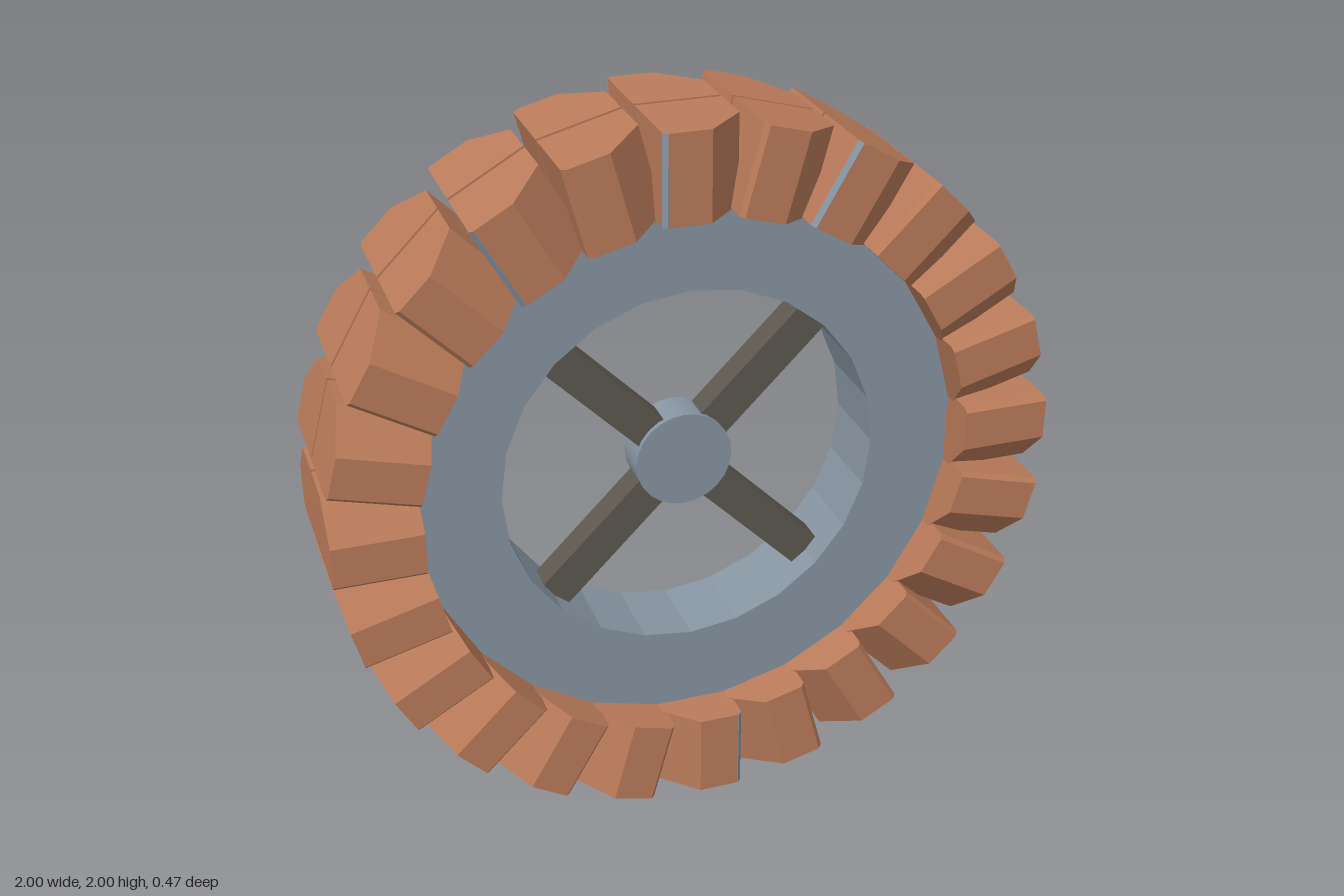
import * as THREE from 'three';

const mat = (name, color) => {
  const m = new THREE.MeshStandardMaterial({ color });
  m.name = name;
  return m;
};

export function createModel() {
  const treadBrown = mat('treadBrown', 0xba7b5a);
  const rimGrey = mat('rimGrey', 0x8795a2);
  const spokeGrey = mat('spokeGrey', 0x5d5850);

  const wheel = new THREE.Group();
  wheel.name = 'wheel';
  wheel.position.y = 1;

  const add = (name, geometry, material, parent = wheel) => {
    const mesh = new THREE.Mesh(geometry, material);
    mesh.name = name;
    parent.add(mesh);
    return mesh;
  };

  // Regular polygon outline for the faceted rim
  const polygon = (radius, sides) =>
    Array.from({ length: sides }, (_, i) => {
      const a = (i / sides) * Math.PI * 2;
      return new THREE.Vector2(radius * Math.cos(a), radius * Math.sin(a));
    });

  // Rim ring, recessed between the tread rows
  const rimShape = new THREE.Shape(polygon(0.88, 24));
  rimShape.holes.push(new THREE.Path(polygon(0.528, 24)));
  const rimGeo = new THREE.ExtrudeGeometry(rimShape, { depth: 0.23, bevelEnabled: false });
  rimGeo.translate(0, 0, -0.115);
  add('rim', rimGeo, rimGrey);

  // Hub disc
  const hubGeo = new THREE.CylinderGeometry(0.137, 0.137, 0.11, 24);
  hubGeo.rotateX(Math.PI / 2);
  add('hub', hubGeo, rimGrey);

  // Four diagonal spokes
  const spokeGeo = new THREE.BoxGeometry(0.1, 0.46, 0.08);
  spokeGeo.translate(0, 0.32, 0);
  for (let i = 0; i < 4; i++) {
    add('spoke', spokeGeo, spokeGrey).rotation.z = Math.PI / 4 + (i * Math.PI) / 2;
  }

  // Tread lug: (tangent, axial) section with a large leading and a small trailing chamfer
  const section = [
    [-0.115, 0.006], [0.115, 0.006], [0.115, 0.135],
    [0.01, 0.236], [-0.103, 0.236], [-0.115, 0.222],
  ];
  const INNER = 0.757, HEIGHT = 0.243;
  const lugGeometry = (side) => {
    const shape = new THREE.Shape(section.map(([t, z]) => new THREE.Vector2(t, -z * side)));
    const geo = new THREE.ExtrudeGeometry(shape, { depth: HEIGHT, bevelEnabled: false });
    geo.rotateX(-Math.PI / 2);
    geo.translate(0, INNER, 0);
    return geo;
  };

  // Thin grey strip on the trailing chamfer of a few lugs
  const stripGeometry = (side) => {
    const geo = new THREE.BoxGeometry(0.018, HEIGHT, 0.002);
    geo.rotateY(-side * Math.atan2(0.014, 0.012));
    geo.translate(-0.1095, INNER + HEIGHT / 2, side * 0.2295);
    return geo;
  };
  const stripped = [0, 2, 12, 22];

  // Two rows of twenty-four lugs
  for (const side of [1, -1]) {
    const row = new THREE.Group();
    row.name = side > 0 ? 'frontTread' : 'backTread';
    wheel.add(row);
    const lugGeo = lugGeometry(side);
    const stripGeo = stripGeometry(side);
    for (let i = 0; i < 24; i++) {
      const angle = (i * Math.PI) / 12;
      add('treadLug', lugGeo, treadBrown, row).rotation.z = angle;
      if (stripped.includes(i)) add('lugStrip', stripGeo, rimGrey, row).rotation.z = angle;
    }
  }

  const model = new THREE.Group();
  model.name = 'treadedWheel';
  model.add(wheel);
  return model;
}
